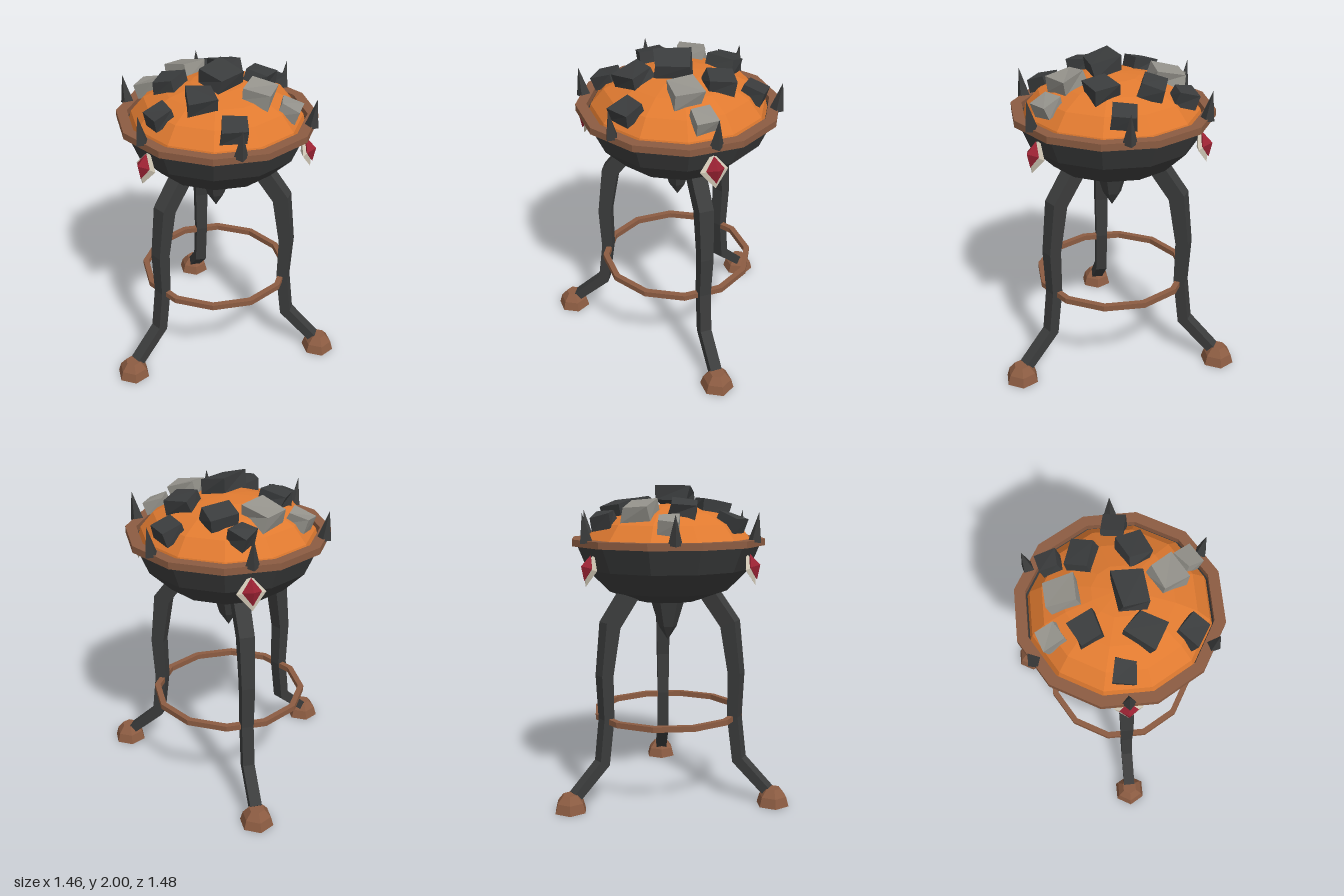
import * as THREE from 'three';

const mat = (name, color) => {
  const m = new THREE.MeshStandardMaterial({ color, flatShading: true });
  m.name = name;
  return m;
};
const M = {
  iron: mat('dark iron', 0x3b3c3c),
  copper: mat('copper', 0x8c5c42),
  ember: mat('glowing ember', 0xe07a30),
  coal: mat('black coal', 0x3a3c3d),
  ash: mat('grey ash', 0x94928b),
  bone: mat('bone', 0xcfc6b4),
  ruby: mat('ruby', 0x9a2233),
};

function add(parent, name, geometry, material, x = 0, y = 0, z = 0) {
  const mesh = new THREE.Mesh(geometry, material);
  mesh.name = name;
  mesh.position.set(x, y, z);
  parent.add(mesh);
  return mesh;
}

// Turned part with its flat sides facing the axes
const turned = (profile, sides = 12) => new THREE.LatheGeometry(
  profile.map(([r, y]) => new THREE.Vector2(r, y)), sides, Math.PI / sides);

// Band with a rectangular section
const band = (inner, outer, low, high) => turned(
  [[inner, low], [outer, low], [outer, high], [inner, high], [inner, low]]);

// Bent square bar; path rows are radius, height, half width, half thickness
function legGeometry(path) {
  const pos = [], index = [];
  path.forEach(([r, y, w, t], j) => {
    const p = path[Math.max(j - 1, 0)], q = path[Math.min(j + 1, path.length - 1)];
    const dr = q[0] - p[0], dy = q[1] - p[1], len = Math.hypot(dr, dy);
    const oz = -dy / len * t, oy = dr / len * t;
    for (const [sx, so] of [[-1, 1], [1, 1], [1, -1], [-1, -1]]) {
      pos.push(sx * w, y + so * oy, r + so * oz);
    }
    if (j === 0) return;
    for (let k = 0; k < 4; k++) {
      const a = (j - 1) * 4 + k, b = (j - 1) * 4 + (k + 1) % 4;
      index.push(a, a + 4, b + 4, a, b + 4, b);
    }
  });
  const e = (path.length - 1) * 4;
  index.push(0, 1, 2, 0, 2, 3, e, e + 2, e + 1, e, e + 3, e + 2);
  const g = new THREE.BufferGeometry();
  g.setAttribute('position', new THREE.Float32BufferAttribute(pos, 3));
  g.setIndex(index);
  g.computeVertexNormals();
  return g;
}

let seed = 11;
const rand = () => (seed = (seed * 16807) % 2147483647) / 2147483647;

// Irregular block: each corner of a box is pushed a little
function lump(w, h, d) {
  const g = new THREE.BoxGeometry(w, h, d), p = g.attributes.position;
  const push = Array.from({ length: 8 }, () => [rand(), rand(), rand()].map(v => 1.1 - v * 0.32));
  for (let i = 0; i < p.count; i++) {
    const x = p.getX(i), y = p.getY(i), z = p.getZ(i);
    const c = push[(x > 0 ? 1 : 0) + (y > 0 ? 2 : 0) + (z > 0 ? 4 : 0)];
    p.setXYZ(i, x * c[0], y * c[1], z * c[2]);
  }
  g.computeVertexNormals();
  return g;
}

export function createModel() {
  const model = new THREE.Group();
  model.name = 'brazier';
  const body = new THREE.Group();
  body.name = 'body';
  body.position.z = -0.105;
  model.add(body);

  // Bowl, rim, embers and the drop below
  add(body, 'bowl', turned([[0, 1.27], [0.2, 1.275], [0.385, 1.34], [0.525, 1.48],
    [0.59, 1.635], [0.565, 1.65], [0.5, 1.5]]), M.iron);
  add(body, 'rim', band(0.555, 0.622, 1.63, 1.672), M.copper);
  add(body, 'embers', turned([[0.55, 1.6], [0.53, 1.67], [0.45, 1.765], [0.32, 1.83],
    [0.16, 1.87], [0, 1.885]]), M.ember);
  add(body, 'drop', turned([[0, 1.01], [0.058, 1.1], [0.115, 1.29]], 6), M.iron);
  add(body, 'braceRing', band(0.455, 0.492, 0.52, 0.555), M.copper);

  // Three legs, each with a foot and a jewel above it
  const leg = legGeometry([[0.25, 1.39, 0.05, 0.05], [0.435, 1.145, 0.046, 0.052],
    [0.479, 0.83, 0.041, 0.041], [0.47, 0.55, 0.037, 0.036],
    [0.505, 0.27, 0.037, 0.036], [0.7, 0.09, 0.037, 0.03]]);
  const foot = new THREE.LatheGeometry([[0, 0], [0.107, 0], [0.09, 0.06], [0.05, 0.108], [0, 0.108]]
    .map(([r, y]) => new THREE.Vector2(r, y)), 6);
  const gem = (w, h, d) => new THREE.OctahedronGeometry(1).scale(w, h, d);
  for (let i = 0; i < 3; i++) {
    const side = new THREE.Group();
    side.name = 'legSide';
    side.rotation.y = i * Math.PI * 2 / 3;
    body.add(side);
    add(side, 'leg', leg, M.iron);
    add(side, 'foot', foot, M.copper, 0, 0, 0.737);
    add(side, 'jewelSetting', gem(0.087, 0.105, 0.035), M.bone, 0, 1.495, 0.568).rotation.x = -0.3;
    add(side, 'jewel', gem(0.057, 0.08, 0.045), M.ruby, 0, 1.508, 0.586).rotation.x = -0.3;
  }

  // Six spikes on the rim, leaning outwards
  const spike = new THREE.ConeGeometry(0.043, 0.18, 4).translate(0, 0.09, 0);
  for (let i = 0; i < 6; i++) {
    const a = i * Math.PI / 3;
    const s = add(body, 'rimSpike', spike, M.iron, Math.sin(a) * 0.59, 1.66, Math.cos(a) * 0.59);
    s.rotation.set(0.15, a, 0, 'YXZ');
  }

  // Coals: x, z, width, depth, turn, material, lift
  const coals = [
    [0.01, -0.56, 0.14, 0.14, -0.15, M.coal, 0],
    [-0.38, -0.35, 0.13, 0.13, 0.1, M.coal, 0.02],
    [-0.2, -0.35, 0.17, 0.18, -0.3, M.coal, 0.02],
    [0.11, -0.36, 0.16, 0.17, 0.4, M.coal, 0.02],
    [0.41, -0.31, 0.13, 0.14, 0.55, M.ash, 0],
    [-0.32, -0.13, 0.19, 0.18, 0.05, M.ash, 0.02],
    [0.06, -0.08, 0.18, 0.23, 0.2, M.coal, 0.055],
    [0.28, -0.18, 0.18, 0.18, 0.5, M.ash, 0.025],
    [-0.4, 0.1, 0.14, 0.14, 0.4, M.ash, 0],
    [-0.2, 0.1, 0.16, 0.17, 0.35, M.coal, 0.02],
    [0.12, 0.14, 0.2, 0.18, -0.65, M.coal, 0.015],
    [0.39, 0.13, 0.14, 0.15, -0.7, M.coal, 0],
    [-0.01, 0.34, 0.14, 0.15, -0.2, M.coal, 0],
  ];
  const up = new THREE.Vector3(0, 1, 0);
  for (const [x, z, w, d, turn, material, lift] of coals) {
    const bz = z + 0.105, r = Math.hypot(x, bz);
    const y = 1.6 + 0.28 * Math.sqrt(1 - (r / 0.57) ** 2);
    const c = add(body, 'coal', lump(w, 0.095, d), material, x, y + lift, bz);
    const normal = new THREE.Vector3(x * 0.7, 0.9, bz * 0.7).normalize();
    c.quaternion.setFromUnitVectors(up, normal);
    c.rotateY(turn);
    if (lift > 0.05) c.rotateZ(-0.2);
  }
  return model;
}
